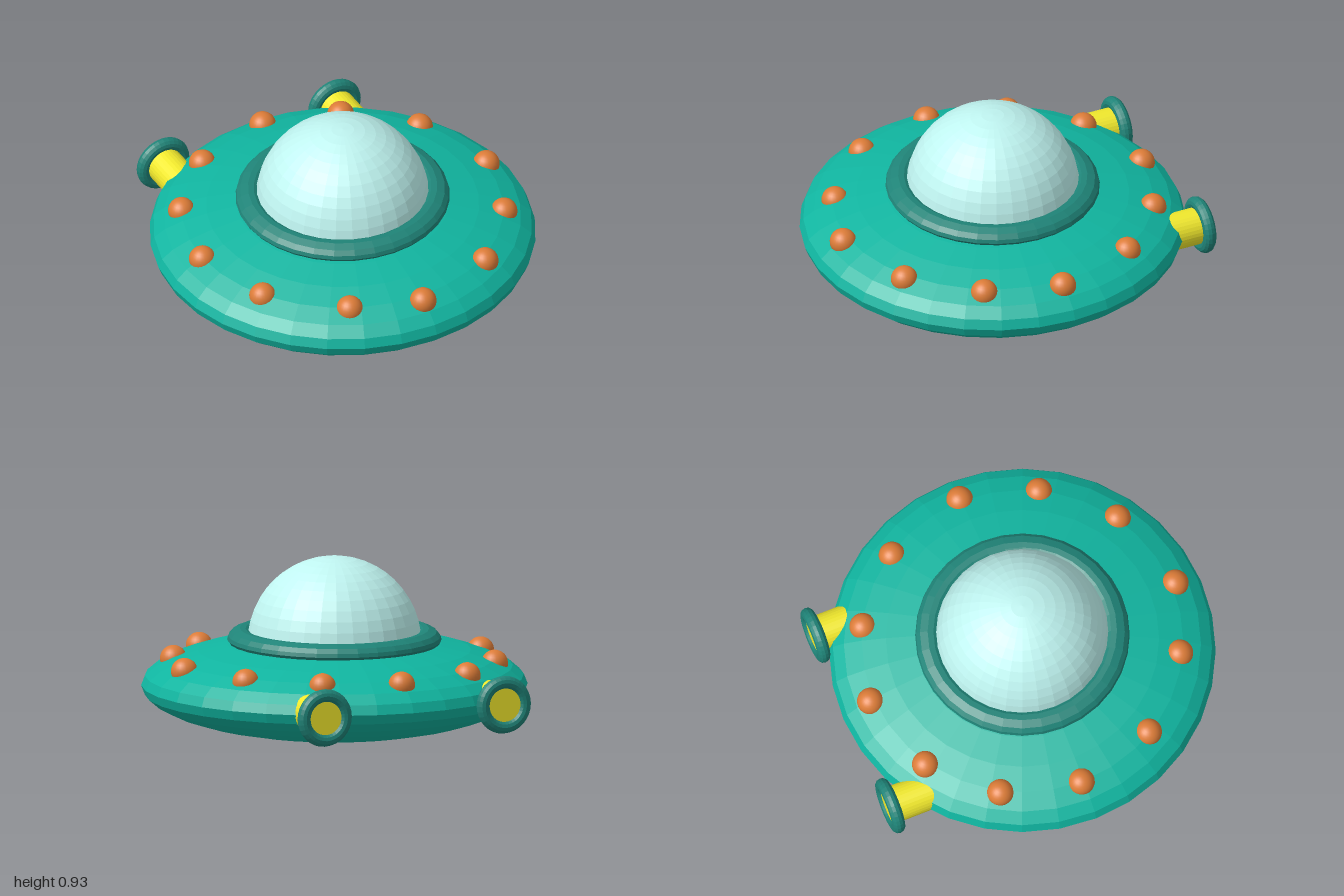
import * as THREE from 'three';

const paint = (color, flatShading = true) => {
  const m = new THREE.MeshStandardMaterial({ color });
  m.flatShading = flatShading;
  return m;
};

export function createModel() {
  const model = new THREE.Group();
  model.name = 'flyingSaucer';
  const teal = paint(0x10b5a0);
  const darkTeal = paint(0x1f8478);
  const glass = paint(0xbff4f0);
  const orange = paint(0xdc7c38, false);
  const yellow = paint(0xf0e82c);

  const add = (name, geometry, material, x, y, z, parent = model) => {
    const mesh = new THREE.Mesh(geometry, material);
    mesh.name = name;
    mesh.position.set(x, y, z);
    parent.add(mesh);
    return mesh;
  };

  // Flattened saucer hull
  const hull = new THREE.SphereGeometry(1, 32, 16).scale(1, 0.257, 1);
  add('hull', hull, teal, 0, 0.26, 0);

  // Bevelled collar under the dome, leaning back very slightly
  const profile = [
    [0.42, -0.06], [0.545, -0.04], [0.555, -0.025], [0.55, -0.005],
    [0.53, 0.018], [0.49, 0.034], [0.46, 0.032], [0.42, 0.01],
  ].map(([r, y]) => new THREE.Vector2(r, y));
  const collar = add('collar', new THREE.LatheGeometry(profile, 32), darkTeal, 0, 0.52, 0);
  collar.rotation.x = -0.012;

  // Cockpit dome
  const dome = new THREE.SphereGeometry(0.45, 32, 12, 0, Math.PI * 2, 0, Math.PI / 2);
  add('dome', dome, glass, 0, 0.48, 0);

  // Ring of lamps, placed a little unevenly
  const lamps = [
    [0, -0.85], [-0.43, -0.72], [-0.72, -0.42], [-0.825, -0.01],
    [-0.705, 0.415], [-0.365, 0.73], [0, 0.855], [0.445, 0.715],
    [0.735, 0.395], [0.85, 0], [0.7, -0.44], [0.395, -0.73],
  ];
  const lampShape = new THREE.SphereGeometry(0.07, 24, 16);
  lamps.forEach(([x, z], i) => add(`lamp${i + 1}`, lampShape, orange, x, 0.385, z));

  // Two rear thrusters: pipe with a rounded rim
  const pipe = new THREE.CylinderGeometry(0.097, 0.097, 0.24, 32).rotateX(Math.PI / 2);
  const rim = new THREE.TorusGeometry(0.117, 0.034, 12, 32);
  for (const [side, x] of [['left', 0.485], ['right', -0.53]]) {
    const thruster = new THREE.Group();
    thruster.name = `${side}Thruster`;
    thruster.position.set(x, 0.262, 0);
    add('pipe', pipe, yellow, 0, 0, -0.855, thruster);
    add('rim', rim, darkTeal, 0, 0, -0.958, thruster);
    model.add(thruster);
  }

  return model;
}
